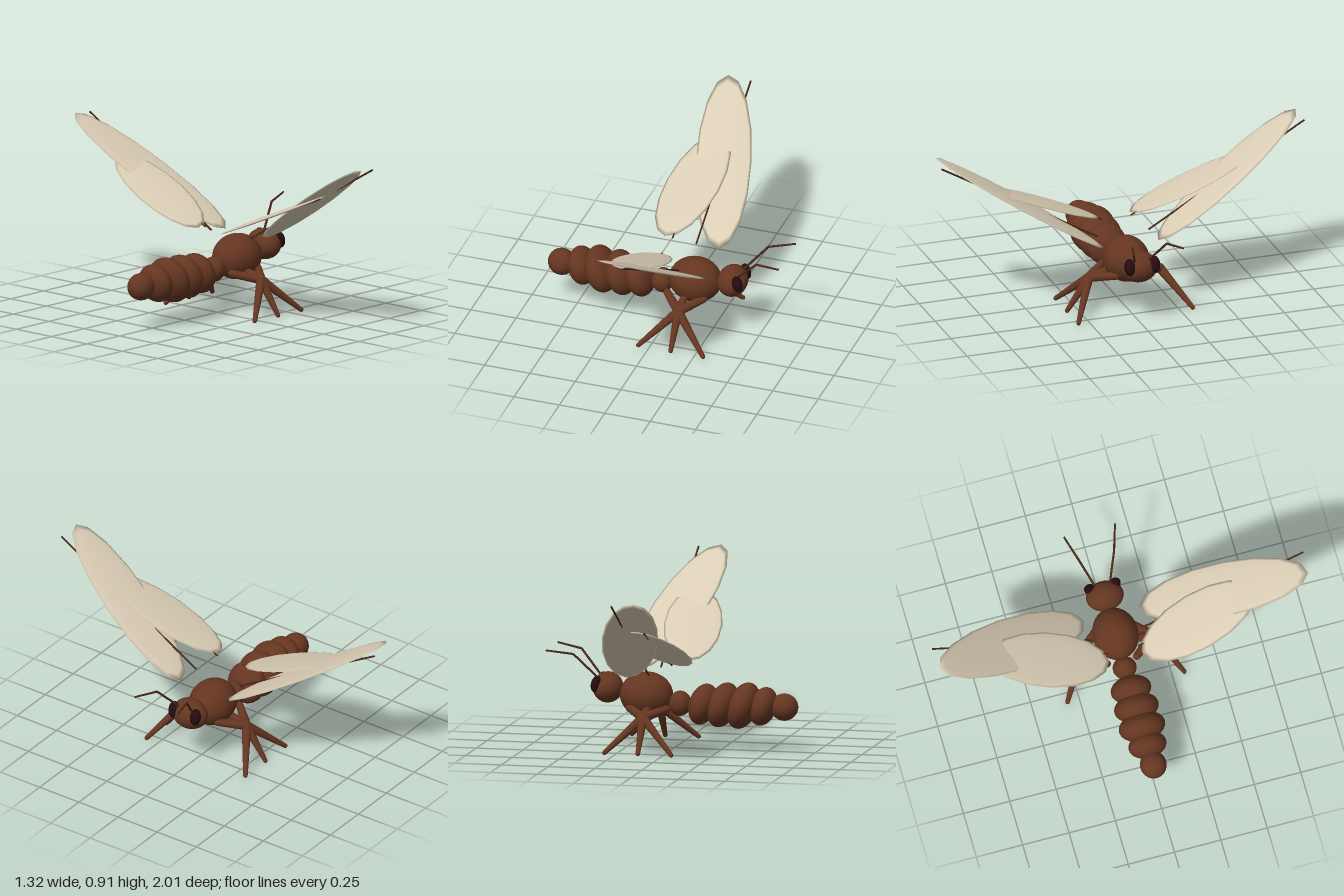
import * as THREE from 'three';

const material = (name, color) => Object.assign(new THREE.MeshStandardMaterial({ color }), { name });

export function createModel() {
  const model = new THREE.Group();
  model.name = 'wingedInsect';

  const brown = material('body brown', 0x653621);
  const dark = material('dark eye', 0x260b10);
  const cream = material('wing cream', 0xdacdb5);
  const twig = material('feeler brown', 0x4a2818);

  const add = (name, geometry, mat, parent = model) => {
    const mesh = new THREE.Mesh(geometry, mat);
    mesh.name = name;
    parent.add(mesh);
    return mesh;
  };

  // Ellipsoid placed by centre and radii
  const ball = (name, [x, y, z], [rx, ry, rz], mat, parent, w = 32, h = 20) => {
    const mesh = add(name, new THREE.SphereGeometry(1, w, h).scale(rx, ry, rz), mat, parent);
    mesh.position.set(x, y, z);
    return mesh;
  };

  // Tapered rod between two points
  const rod = (name, a, b, ra, rb, mat, parent, sides = 8) => {
    const from = new THREE.Vector3(...a), to = new THREE.Vector3(...b);
    const dir = to.clone().sub(from);
    const mesh = add(name, new THREE.CylinderGeometry(rb, ra, dir.length(), sides), mat, parent);
    mesh.position.copy(from).add(to).multiplyScalar(0.5);
    mesh.quaternion.setFromUnitVectors(new THREE.Vector3(0, 1, 0), dir.normalize());
    return mesh;
  };

  // Body
  ball('head', [0.355, 0.308, 0], [0.079, 0.081, 0.1], brown);
  ball('thorax', [0.15, 0.276, 0], [0.14, 0.12, 0.12], brown);
  ball('waist', [-0.03, 0.236, 0], [0.058, 0.066, 0.063], brown);

  // Leaning abdomen rings: x, half width, half height, lean
  const rings = [
    [-0.153, 0.073, 0.11, 0.3],
    [-0.258, 0.076, 0.121, 0.32],
    [-0.367, 0.078, 0.126, 0.34],
    [-0.473, 0.07, 0.103, 0.28],
    [-0.586, 0.073, 0.071, 0],
  ];
  rings.forEach(([x, rx, r, lean], i) => {
    ball('abdomenRing' + (i + 1), [x, 0.236, 0], [rx, r, r * 0.98], brown).rotation.z = lean;
  });

  for (const s of [1, -1]) {
    const side = s > 0 ? 'right' : 'left';

    // Eyes
    ball(side + 'Eye', [0.403, 0.332, s * 0.068], [0.027, 0.045, 0.03], dark).rotation.z = 0.25;

    // Bent antennae
    const antenna = new THREE.Group();
    antenna.name = side + 'Antenna';
    model.add(antenna);
    const bend = [0.518, 0.49, s * 0.095];
    rod('antennaBase', [0.4, 0.362, s * 0.04], bend, 0.006, 0.006, twig, antenna);
    rod('antennaTip', bend, [0.655, 0.511, s * 0.138], 0.006, 0.005, twig, antenna);

    // Legs: three thighs meet at one knee, then the shins spread out
    const knee = [0.123, 0.185, s * 0.195];
    ['rear', 'middle', 'front'].forEach((place, i) => {
      const leg = new THREE.Group();
      leg.name = `${side}${place}Leg`;
      model.add(leg);
      const hip = [0.123 + (i - 1) * 0.1, 0.215, s * 0.08];
      const foot = [0.123 + (i - 1) * 0.178, 0.013, s * 0.315];
      rod('thigh', hip, knee, 0.02, 0.025, brown, leg, 12);
      ball('hip', hip, [0.02, 0.02, 0.02], brown, leg, 12, 8);
      ball('knee', knee, [0.025, 0.025, 0.025], brown, leg, 12, 8);
      rod('shin', knee, foot, 0.025, 0.012, brown, leg, 12);
      ball('foot', foot, [0.012, 0.012, 0.012], brown, leg, 12, 8);
    });

    // Wings: thin lenses swept, pitched and raised, each with a straight vein
    const wing = (name, centre, radii, sweep, pitch, raise) => {
      const mesh = ball(side + name, centre, radii, cream, model, 16, 8);
      mesh.rotation.set(-s * raise, s * sweep, pitch, 'XZY');
    };
    wing('ForeWing', [0.105, 0.65, s * 0.572], [0.147, 0.011, 0.512], -0.24, -0.035, 0.55);
    rod(side + 'ForeVein', [0.105, 0.4, s * 0.14], [0.105, 0.898, s], 0.005, 0.005, twig);
    wing('HindWing', [-0.005, 0.585, s * 0.405], [0.152, 0.01, 0.348], 0.13, 0.1, 0.4);
    rod(side + 'HindVein', [-0.005, 0.446, s * 0.08], [-0.005, 0.718, s * 0.73], 0.004, 0.004, twig);
  }
  return model;
}
